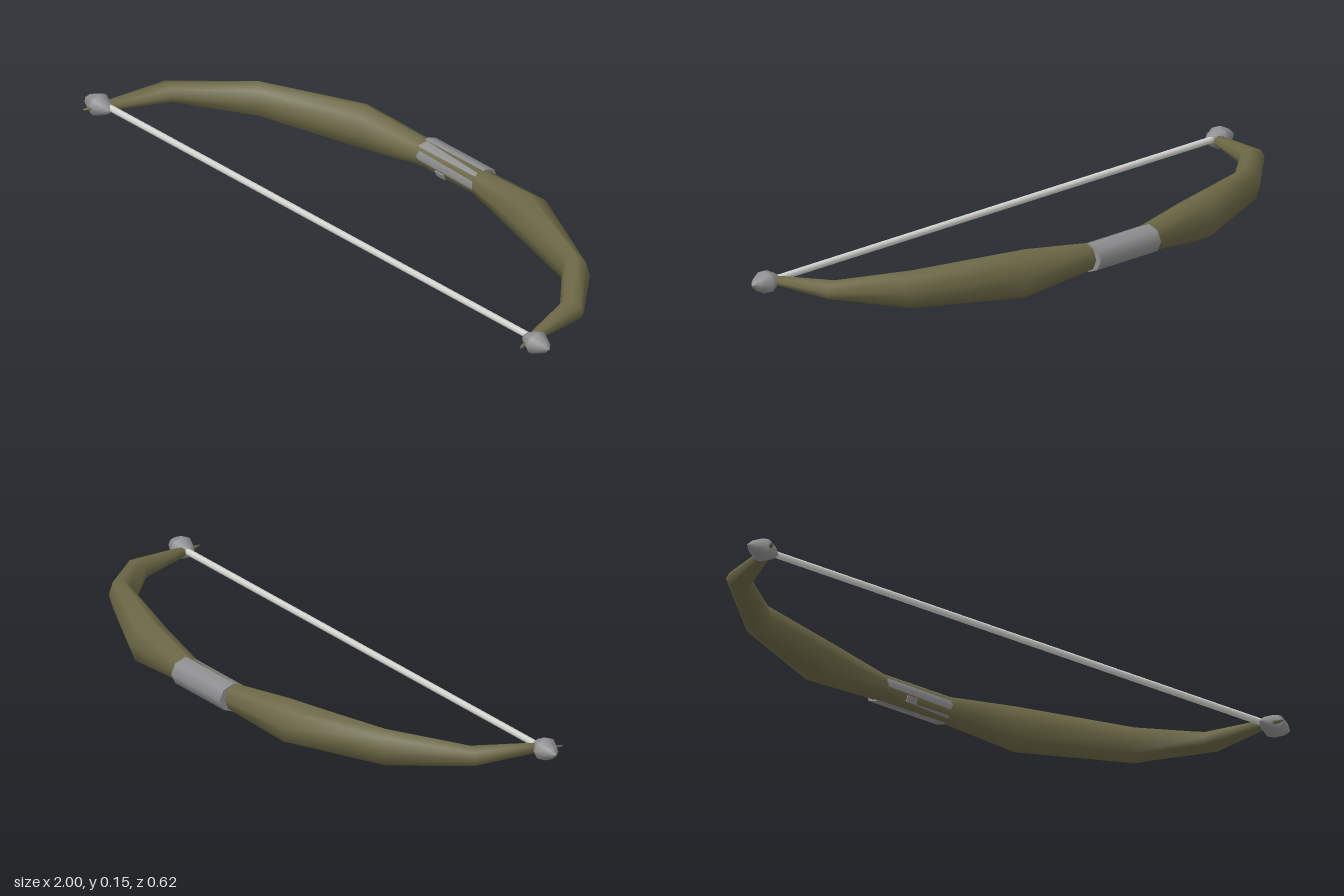
import * as THREE from 'three';

const SIDES = 8;

// Each section: outer x, outer z, inner x, inner z, centre y, half height
const SECTIONS = [
  [-0.952, 0.312, -0.946, 0.312, 0.083, 0.002],
  [-0.935, 0.225, -0.895, 0.23, 0.084, 0.016],
  [-0.905, 0.04, -0.83, 0.07, 0.083, 0.029],
  [-0.7, -0.14, -0.635, -0.085, 0.08, 0.057],
  [-0.38, -0.28, -0.3, -0.18, 0.079, 0.069],
  [-0.1, -0.295, -0.1, -0.218, 0.078, 0.041],
  [0.13, -0.295, 0.13, -0.218, 0.077, 0.041],
  [0.41, -0.28, 0.325, -0.18, 0.073, 0.073],
  [0.75, -0.12, 0.67, -0.085, 0.074, 0.057],
  [0.905, 0.045, 0.825, 0.065, 0.073, 0.029],
  [0.922, 0.225, 0.885, 0.225, 0.071, 0.016],
  [0.931, 0.312, 0.925, 0.312, 0.067, 0.002],
];

// Loft elliptical rings from one tip to the other
function limbGeometry() {
  const pos = [], index = [];
  SECTIONS.forEach(([ox, oz, ix, iz, y, h], i) => {
    for (let j = 0; j < SIDES; j++) {
      const a = (j / SIDES) * Math.PI * 2, c = Math.cos(a) / 2;
      pos.push((ox + ix) / 2 + (ox - ix) * c, y + h * Math.sin(a), (oz + iz) / 2 + (oz - iz) * c);
      if (i === 0) continue;
      const k = (j + 1) % SIDES, p = (i - 1) * SIDES, q = i * SIDES;
      index.push(p + j, p + k, q + j, p + k, q + k, q + j);
    }
  });
  const g = new THREE.BufferGeometry();
  g.setAttribute('position', new THREE.Float32BufferAttribute(pos, 3));
  g.setIndex(index);
  g.computeVertexNormals();
  return g;
}

export function createModel() {
  const group = new THREE.Group();
  const mat = (name, color) => {
    const m = new THREE.MeshStandardMaterial({ color });
    m.name = name;
    return m;
  };
  const wood = mat('olive wood', 0x6b6745);
  const metal = mat('grey metal', 0x8e8e90);
  const cord = mat('pale cord', 0xd6d6d2);
  const add = (name, geo, material, x, y, z) => {
    const m = new THREE.Mesh(geo, material);
    m.name = name;
    m.position.set(x, y, z);
    group.add(m);
    return m;
  };

  // Curved stave
  add('limbs', limbGeometry(), wood, 0, 0, 0);

  // Grip sleeve around the middle
  const grip = new THREE.CylinderGeometry(0.048, 0.048, 0.25, SIDES);
  grip.rotateZ(Math.PI / 2).scale(1, 0.9, 1);
  add('grip', grip, metal, 0.015, 0.078, -0.265).rotation.z = -0.008;

  // Small plate on the lower front of the grip
  const plate = add('gripPlate', new THREE.BoxGeometry(0.036, 0.02, 0.008), metal, -0.01, 0.055, -0.227);
  plate.rotation.x = 0.42;

  // Faceted nocks at both tips
  const profile = [[0, -0.058], [0.02, -0.038], [0.037, -0.005], [0.037, 0.005], [0.02, 0.038], [0, 0.058]]
    .map(([r, y]) => new THREE.Vector2(r, y));
  const nock = new THREE.LatheGeometry(profile, SIDES);
  nock.rotateZ(Math.PI / 2).scale(1, 0.92, 1);
  add('leftNock', nock, metal, 0.938, 0.07, 0.257);
  add('rightNock', nock, metal, -0.942, 0.084, 0.257);

  // Bowstring, running straight between the nocks
  const string = new THREE.CylinderGeometry(0.01, 0.01, 1.84, 6);
  string.rotateZ(Math.PI / 2);
  add('bowstring', string, cord, 0, 0.08, 0.25).rotation.z = -0.008;

  return group;
}
